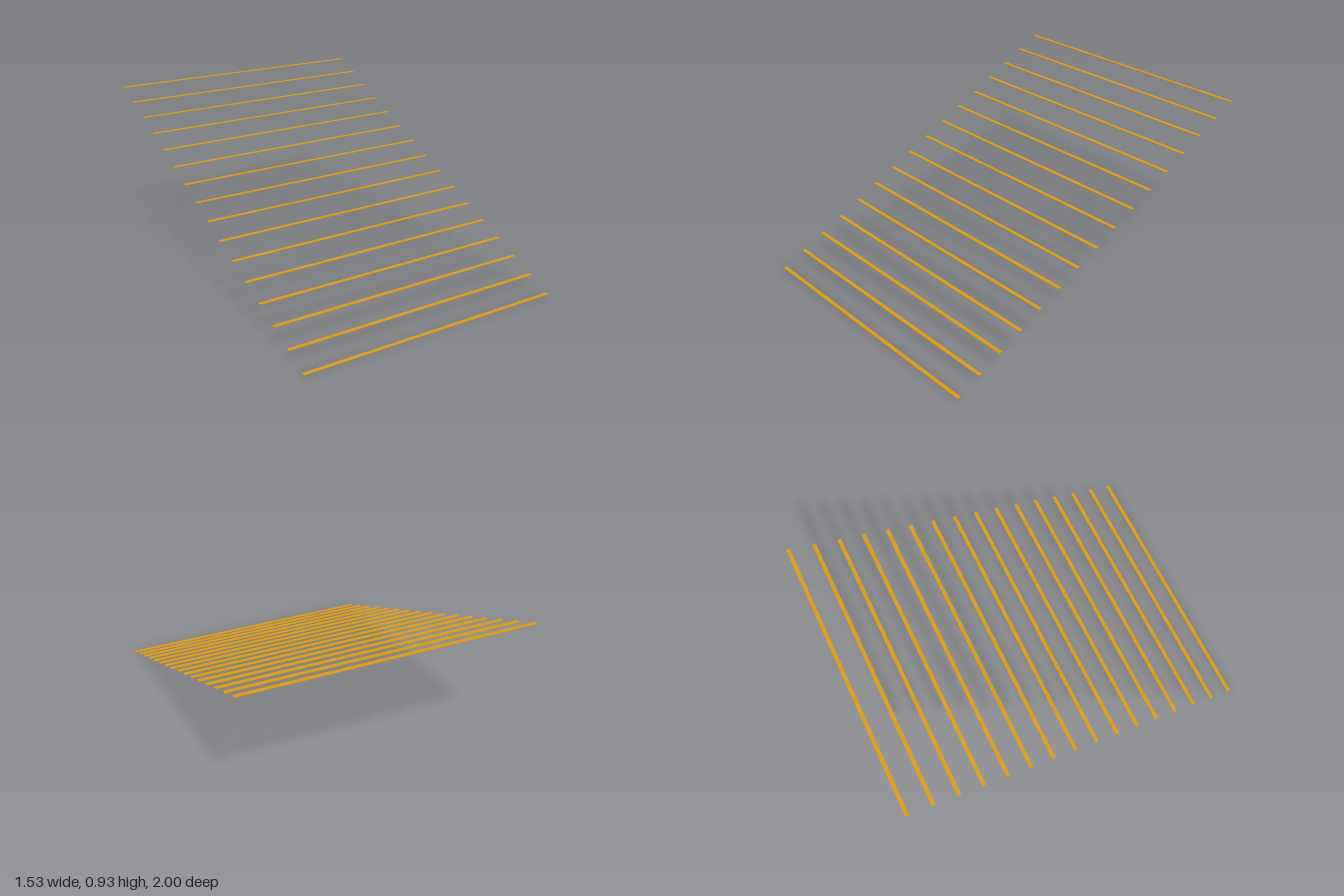
import * as THREE from 'three';

// A straight flight of thin edge strips, rising toward the back
export function createModel() {
  const group = new THREE.Group();
  group.name = 'stairEdgeStrips';

  const count = 16;
  const width = 1.535, thickness = 0.003, depth = 0.021;
  const rise = 0.0621, run = (2 - depth) / (count - 1);

  const material = new THREE.MeshStandardMaterial({ color: 0xdd9c14 });
  const geometry = new THREE.BoxGeometry(width, thickness, depth);

  // One strip per step, lowest at the front
  for (let i = 0; i < count; i++) {
    const strip = new THREE.Mesh(geometry, material);
    strip.name = `edgeStrip${i + 1}`;
    strip.position.set(0, thickness / 2 + i * rise, 1 - depth / 2 - i * run);
    group.add(strip);
  }
  return group;
}
